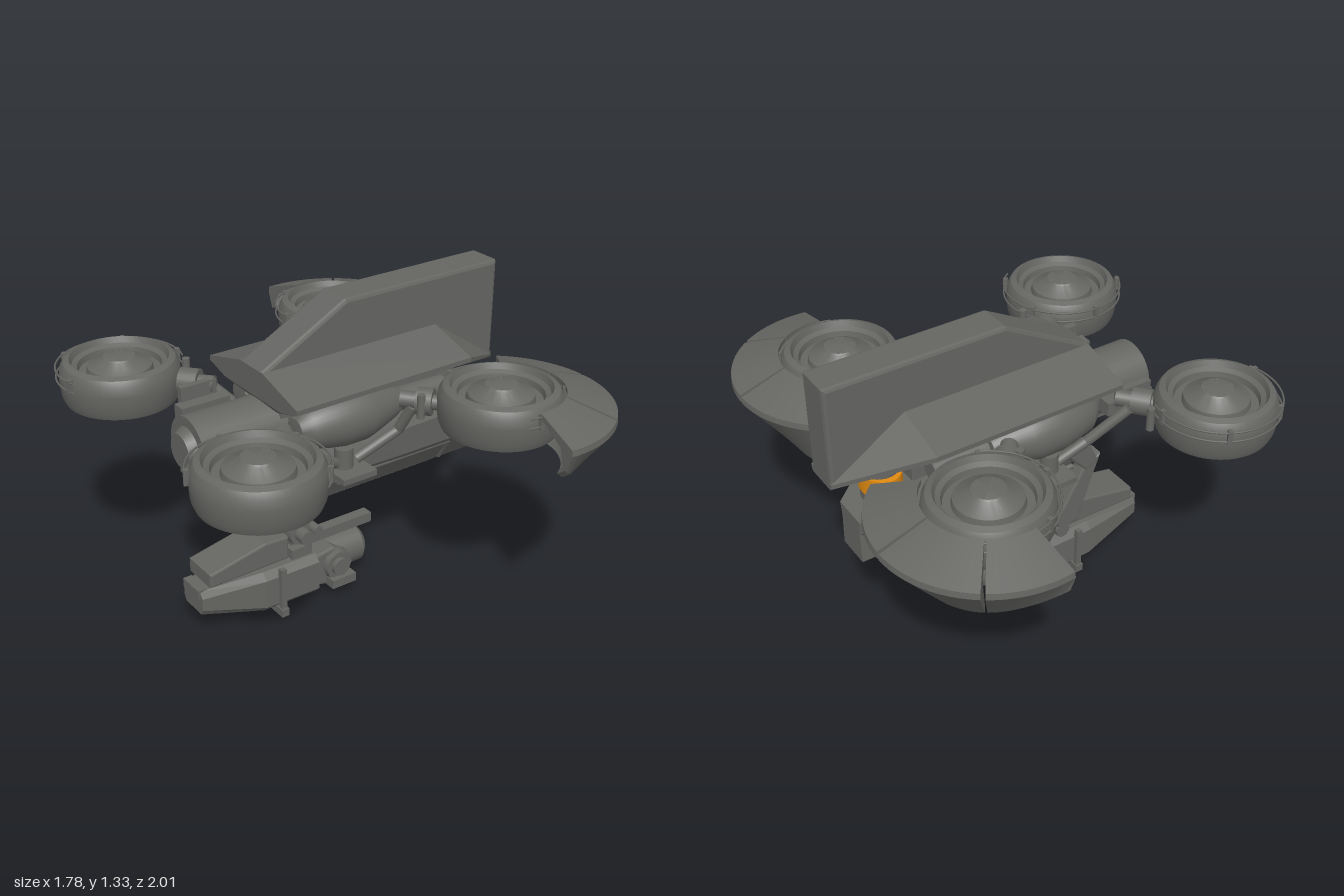
import * as THREE from 'three';
import { toCreasedNormals } from 'three/addons/utils/BufferGeometryUtils.js';

const V = (x, y, z) => new THREE.Vector3(x, y, z);

export function createModel() {
  const root = new THREE.Group();
  root.name = 'hoverDrone';
  const grey = new THREE.MeshStandardMaterial({ color: 0x656562, side: THREE.DoubleSide });
  grey.name = 'gunmetal grey';
  const orange = new THREE.MeshStandardMaterial({ color: 0xe08a10 });
  orange.name = 'signal orange';

  const add = (name, geo, parent = root, mat = grey) => {
    const m = new THREE.Mesh(geo, mat);
    m.name = name;
    parent.add(m);
    return m;
  };
  const box = (name, x0, x1, y0, y1, z0, z1, parent = root) => {
    const m = add(name, new THREE.BoxGeometry(x1 - x0, y1 - y0, z1 - z0), parent);
    m.position.set((x0 + x1) / 2, (y0 + y1) / 2, (z0 + z1) / 2);
    return m;
  };
  // round bar between two points
  const rod = (name, a, b, r0, r1 = r0, parent = root, sides = 20) => {
    const d = b.clone().sub(a);
    const m = add(name, new THREE.CylinderGeometry(r1, r0, d.length(), sides), parent);
    m.position.copy(a).addScaledVector(d, 0.5);
    m.quaternion.setFromUnitVectors(V(0, 1, 0), d.normalize());
    return m;
  };
  // skin over closed cross-sections, with end caps
  const loft = (rings) => {
    const p = [];
    const tri = (...v) => v.forEach((q) => p.push(q.x, q.y, q.z));
    const n = rings[0].length;
    for (let i = 0; i < rings.length - 1; i++)
      for (let j = 0; j < n; j++) {
        const k = (j + 1) % n, a = rings[i], b = rings[i + 1];
        tri(a[j], b[j], b[k]);
        tri(a[j], b[k], a[k]);
      }
    const s = rings[0], e = rings[rings.length - 1];
    for (const [cap, flip] of [[s, 0], [e, 1]]) {
      const c = cap.reduce((t, q) => t.add(q), V(0, 0, 0)).divideScalar(n);
      for (let j = 0; j < n; j++) {
        const k = (j + 1) % n;
        flip ? tri(c, cap[k], cap[j]) : tri(c, cap[j], cap[k]);
      }
    }
    const g = new THREE.BufferGeometry();
    g.setAttribute('position', new THREE.Float32BufferAttribute(p, 3));
    g.computeVertexNormals();
    return g;
  };
  // cross-section at x from half profile [z, y], mirrored
  const section = (x, half) => [
    ...half.map(([z, y]) => V(x, y, z)),
    ...half.slice().reverse().map(([z, y]) => V(x, y, -z)),
  ];
  const lathe = (pts, seg = 40) =>
    toCreasedNormals(new THREE.LatheGeometry(pts.map((q) => new THREE.Vector2(...q)), seg), 0.5);
  // side outline extruded across z, with a small bevel
  const slab = (name, outline, z0, z1, bevel = 0.008, parent = root) => {
    const g = new THREE.ExtrudeGeometry(new THREE.Shape(outline.map((q) => new THREE.Vector2(...q))), {
      depth: z1 - z0 - 2 * bevel, bevelSize: bevel, bevelThickness: bevel, bevelOffset: -bevel, bevelSegments: 2,
    });
    g.translate(0, 0, z0 + bevel);
    return add(name, g, parent);
  };

  // upper hood and tall fin
  const hood = [[0.08, 1.115], [0.31, 1.05], [0.31, 1.03], [0.12, 0.955]];
  const hoodEnd = [[0.08, 1.115], [0.31, 1.05], [0.31, 1.03], [0.2, 1.0]];
  add('hood', loft([
    section(-0.34, hoodEnd), section(-0.3, hood), section(0.5, hood),
    section(0.82, [[0.08, 0.91], [0.08, 0.9], [0.08, 0.89], [0.07, 0.88]]),
  ]));
  slab('fin', [[-0.34, 1.0], [0.5, 1.0], [0.82, 0.88], [0.82, 1.325], [0.05, 1.325], [-0.34, 1.115]], -0.08, 0.08, 0.015);

  // nose barrel with end cap
  rod('noseBarrel', V(-0.63, 0.85, 0), V(-0.25, 0.85, 0), 0.13, 0.13, root, 32);
  rod('noseCap', V(-0.665, 0.85, 0), V(-0.63, 0.85, 0), 0.07, 0.09, root, 24);
  box('noseKeel', -0.63, -0.28, 0.72, 0.78, -0.07, 0.07);
  box('spine', -0.28, 0.5, 0.81, 0.98, -0.11, 0.11);

  // neck and coloured ring joining hood and belly
  rod('neck', V(0.58, 0.72, 0), V(0.58, 1.0, 0), 0.08, 0.08, root, 32);
  const ring = add('neckRing', new THREE.CylinderGeometry(0.105, 0.105, 0.085, 32), root, orange);
  ring.position.set(0.58, 0.8, 0);
  ring.scale.x = 0.78;

  // belly hull
  const belly = (x, top, w) => section(x, [[w, top], [w - 0.01, 0.62], [0.075, 0.48]]);
  add('belly', loft([belly(-0.23, 0.65, 0.16), belly(0.05, 0.66, 0.17), belly(0.1, 0.71, 0.18),
    belly(0.3, 0.745, 0.185), belly(0.55, 0.75, 0.185), belly(0.72, 0.68, 0.08)]));
  for (const s of [-1, 1]) {
    rod('bellyRail', V(-0.23, 0.595, s * 0.148), V(0.54, 0.595, s * 0.148), 0.012);
    rod('bellyRailEnd', V(0.54, 0.595, s * 0.148), V(0.55, 0.49, s * 0.08), 0.012);
    box('bellyRunner', -0.22, 0.53, 0.473, 0.49, s * 0.055 - 0.012, s * 0.055 + 0.012);
  }

  // rotor pod outline, bottom centre to top centre
  const rotorProfile = [[0, 0.848], [0.08, 0.848], [0.085, 0.93], [0.19, 0.93], [0.2, 0.875], [0.228, 0.87],
    [0.24, 0.9], [0.245, 0.97], [0.24, 1.01], [0.225, 1.035], [0.2, 1.045], [0.19, 1.02], [0.17, 1.01],
    [0.165, 0.985], [0.135, 0.985], [0.13, 1.01], [0.07, 1.042], [0.065, 1.048], [0, 1.05]];
  const rotorGeo = lathe(rotorProfile, 48);
  const rotor = (x, z, turn) => {
    const g = new THREE.Group();
    g.name = 'rotor';
    g.position.set(x, 0, z);
    g.rotation.y = turn;
    root.add(g);
    add('rotorHousing', rotorGeo, g);
    for (const y of [0.975, 1.015]) {
      const hoop = add('guardHoop', new THREE.TorusGeometry(0.256, 0.004, 6, 40, Math.PI * 1.2), g);
      hoop.rotation.x = Math.PI / 2;
      hoop.position.y = y;
    }
    for (let i = 0; i < 4; i++) {
      const a = 0.1 + i * 1.15;
      const clip = add('hoopClip', new THREE.BoxGeometry(0.02, 0.06, 0.018), g);
      clip.position.set(0.25 * Math.cos(a), 0.993, 0.25 * Math.sin(a));
      clip.rotation.y = -a;
    }
  };
  // curved shield panel around a front rotor, angles in degrees; the lower lip rises and widens at the ends
  const shield = (cx, cz, s, a0, a1) => {
    const rings = [];
    for (let i = 0; i <= 12; i++) {
      const deg = a0 + ((a1 - a0) * i) / 12, t = THREE.MathUtils.degToRad(deg);
      const u = Math.max(0, (deg - 65) / 32), w = Math.max(0, (-10 - deg) / 40);
      const r = 0.27 + 0.155 * u + 0.09 * w, y = 0.71 + 0.155 * u;
      const prof = [[0.25, 1.03], [0.445, 0.965], [0.448, 0.94], [r, y],
        [r - 0.02, y + 0.01], [0.42, 0.95], [0.25, 1.01]];
      rings.push(prof.map(([q, h]) => V(cx + q * Math.cos(t), h, cz + s * q * Math.sin(t))));
    }
    add('shieldPanel', toCreasedNormals(loft(rings), 0.4));
  };

  for (const s of [-1, 1]) {
    const fz = s * 0.555;
    rotor(0.44, fz, s > 0 ? Math.PI * 0.6 : Math.PI * 1.4);
    rotor(-0.635, s > 0 ? 0.51 : -0.525, s > 0 ? Math.PI * 0.9 : Math.PI * 1.1);
    for (const [a, b] of [[97, 55.5], [53.5, 1], [-1, -50]]) shield(0.44, fz, s, a, b);

    // side tank under the hood
    const tank = add('sideTank', lathe([[0, -0.25], [0.05, -0.245], [0.07, -0.2], [0.105, -0.09], [0.115, -0.05],
      [0.115, 0.05], [0.105, 0.11], [0.085, 0.2], [0.05, 0.245], [0, 0.25]], 32));
    tank.rotation.z = Math.PI / 2;
    tank.position.set(-0.03, 0.905, s * 0.2);
    rod('tankPipe', V(0.18, 0.89, s * 0.18), V(0.46, 0.89, s * 0.18), 0.05, 0.045);

    // side hub carrying the rotor arms
    box('hubPlate', -0.13, 0.03, 0.67, 0.695, s * 0.15, s * 0.32);
    rod('hubPivot', V(-0.06, 0.67, s * 0.22), V(-0.06, 0.78, s * 0.22), 0.038);
    box('hubFoot', -0.1, -0.02, 0.63, 0.67, s * 0.18, s * 0.24);
    const arms = [
      [V(-0.1, 0.72, s * 0.22), V(-0.22, 0.79, s * 0.25), V(-0.36, 0.94, s * 0.33)],
      [V(0, 0.71, s * 0.22), V(0.17, 0.81, s * 0.27), V(0.19, 0.93, s * 0.33)],
    ];
    for (const pts of arms) {
      rod('armLower', pts[0], pts[1], 0.022);
      rod('armUpper', pts[1], pts[2], 0.022);
    }
    rod('rearAxle', V(-0.36, 0.95, s * 0.25), V(-0.5, 0.95, s * 0.42), 0.035, 0.028);
    rod('rearCollar', V(-0.4, 0.95, s * 0.3), V(-0.45, 0.95, s * 0.36), 0.055);
    rod('frontAxle', V(0.17, 0.95, s * 0.28), V(0.3, 0.95, s * 0.44), 0.035, 0.028);
    rod('frontCollar', V(0.21, 0.95, s * 0.33), V(0.25, 0.95, s * 0.38), 0.055);
    rod('frontKnuckle', V(0.19, 0.9, s * 0.38), V(0.19, 1.0, s * 0.38), 0.016);
    rod('rearKnuckle', V(-0.38, 0.9, s * 0.44), V(-0.38, 1.0, s * 0.44), 0.016);
    box('rearBracket', -0.55, -0.33, 0.86, 0.92, s * 0.21 - 0.03, s * 0.21 + 0.03);
    box('rearBracketTab', -0.52, -0.36, 0.9, 0.98, s * 0.25 - 0.015, s * 0.25 + 0.015);
  }

  // hanging arm for the lower pod
  slab('hangingArm', [[-0.33, 0.66], [-0.25, 0.62], [-0.11, 0.38], [-0.14, 0.33], [-0.22, 0.35]], -0.21, -0.14);
  slab('armBlade', [[-0.31, 0.64], [-0.25, 0.61], [-0.16, 0.71], [-0.2, 0.76], [-0.27, 0.73]], -0.22, -0.13);
  rod('shoulderPin', V(-0.24, 0.66, -0.2), V(-0.24, 0.66, 0.05), 0.035);
  rod('wristPin', V(-0.15, 0.325, -0.21), V(-0.15, 0.325, 0.1), 0.032);
  rod('wristKnuckle', V(-0.15, 0.325, -0.1), V(-0.15, 0.325, 0.05), 0.055, 0.055, root, 8);
  box('wristBlock', -0.19, -0.1, 0.34, 0.41, -0.055, 0.0);
  box('wristNeck', -0.18, -0.11, 0.2, 0.34, -0.07, 0.02);
  rod('wristCable', V(-0.09, 0.335, -0.19), V(-0.09, 0.335, 0.09), 0.022);

  // lower pod
  const pod = new THREE.Group();
  pod.name = 'lowerPod';
  pod.position.z = -0.025;
  root.add(pod);
  const podHalf = (x, y0, y1, w) => section(x, [[w * 0.75, y1], [w, y1 - 0.03], [w, y0 + 0.025], [w * 0.8, y0]]);
  add('podHull', loft([podHalf(-0.63, 0.105, 0.215, 0.075), podHalf(-0.35, 0.03, 0.215, 0.115),
    podHalf(-0.09, 0.03, 0.215, 0.12)]), pod);
  box('podTailPlate', -0.64, -0.6, 0.18, 0.22, -0.06, 0.06, pod);
  slab('podTopCase', [[-0.595, 0.23], [-0.22, 0.235], [-0.22, 0.34], [-0.33, 0.345], [-0.595, 0.29]], -0.085, 0.085, 0.008, pod);
  box('podCaseFoot', -0.35, -0.25, 0.2, 0.24, -0.05, 0.05, pod);
  box('podBridge', -0.2, -0.1, 0.19, 0.26, -0.08, 0.08, pod);
  slab('podYoke', [[-0.1, 0.06], [0, 0.03], [0.06, 0.07], [0.06, 0.18], [0, 0.215], [-0.1, 0.2]], -0.1, 0.1, 0.01, pod);
  rod('podMuzzle', V(0.0, 0.135, 0), V(0.17, 0.135, 0), 0.085, 0.085, pod, 28);
  rod('podMuzzleTip', V(0.17, 0.135, 0), V(0.192, 0.135, 0), 0.085, 0.065, pod, 28);
  box('podTopRail', -0.08, 0.25, 0.22, 0.265, -0.025, 0.025, pod);
  for (const s of [-1, 1]) {
    rod('podHub', V(0.01, 0.135, s * 0.08), V(0.01, 0.135, s * 0.125), 0.072, 0.065, pod, 8);
    rod('podHubCap', V(0.01, 0.135, s * 0.12), V(0.01, 0.135, s * 0.145), 0.04, 0.04, pod);
    box('podStrap', -0.29, -0.265, 0.005, 0.225, s * 0.125 - 0.012, s * 0.125 + 0.012, pod);
    box('podFoot', -0.295, -0.26, 0, 0.035, s * 0.1 - 0.045, s * 0.1 + 0.045, pod);
    box('podSideBlock', -0.04, 0.08, 0.045, 0.085, s * 0.12 - 0.03, s * 0.12 + 0.03, pod);
  }
  return root;
}
